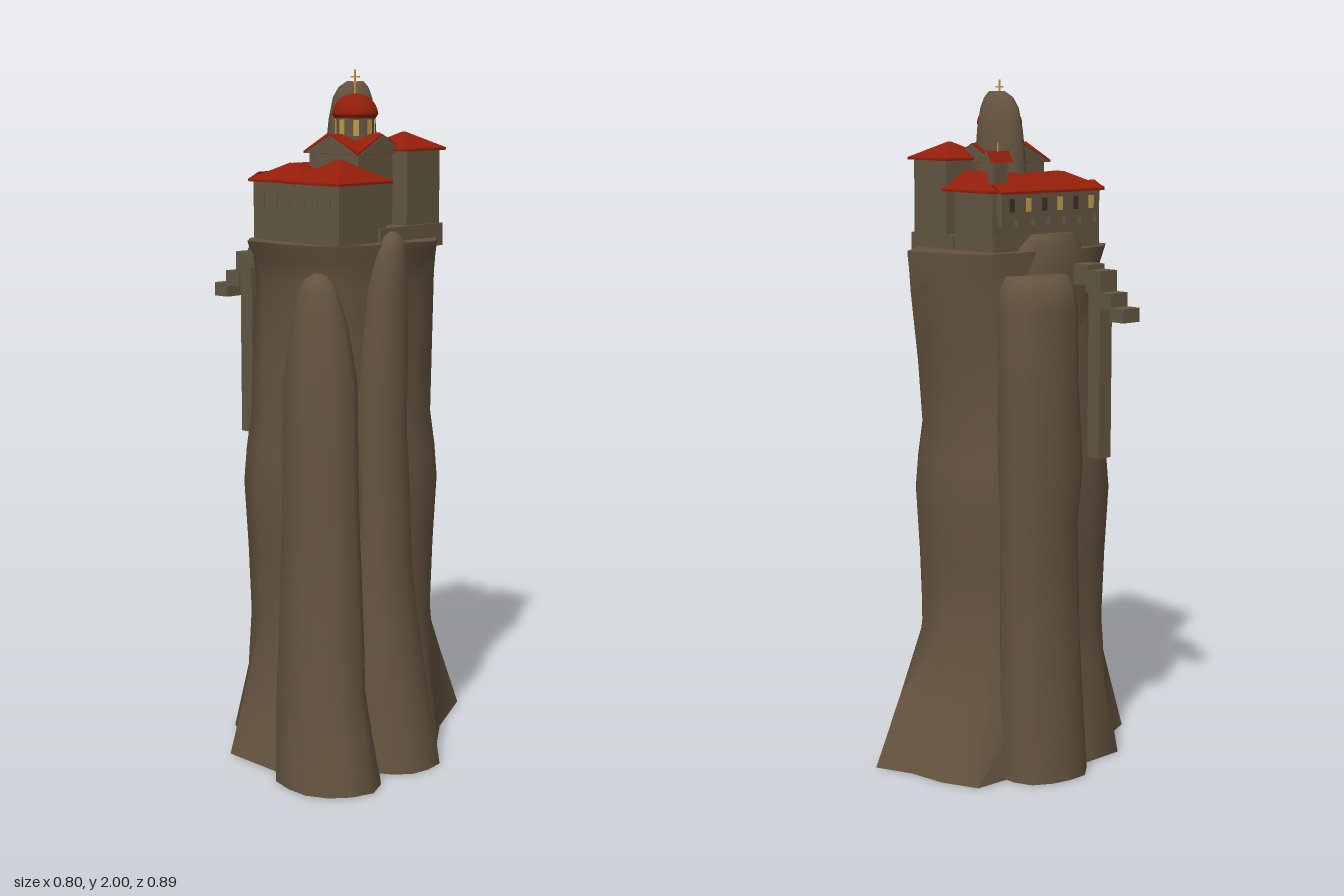
import * as THREE from 'three';
import { toCreasedNormals } from 'three/addons/utils/BufferGeometryUtils.js';
import { ConvexGeometry } from 'three/addons/geometries/ConvexGeometry.js';

const mat = (name, color) => {
  const m = new THREE.MeshStandardMaterial({ color });
  m.name = name;
  return m;
};

export function createModel() {
  const model = new THREE.Group();
  const rock = mat('rock brown', 0x64533f);
  rock.side = THREE.DoubleSide; // the rock is open underneath
  const stone = mat('wall stone', 0x635643);
  const tile = mat('roof red', 0x931e09);
  const dark = mat('window dark', 0x3a3128);
  const gold = mat('lit gold', 0xc39a45);

  const add = (name, geo, material) => {
    const m = new THREE.Mesh(geo, material);
    m.name = name;
    model.add(m);
    return m;
  };
  // box given by its extents
  const box = (name, x0, x1, y0, y1, z0, z1, material = stone) => {
    const g = new THREE.BoxGeometry(x1 - x0, y1 - y0, z1 - z0);
    return add(name, g.translate((x0 + x1) / 2, (y0 + y1) / 2, (z0 + z1) / 2), material);
  };
  const convex = (name, pts, material) =>
    add(name, new ConvexGeometry(pts.map(p => new THREE.Vector3(...p))), material);

  // skin over rings of [x, y, z], open below and closed on top
  const skin = (name, rings, crease = 1) => {
    const n = rings[0].length, last = rings[rings.length - 1], pos = rings.flat(2), idx = [];
    for (let l = 0; l < rings.length - 1; l++) {
      for (let i = 0; i < n; i++) {
        const a = l * n + i, b = l * n + (i + 1) % n;
        idx.push(a, a + n, b, b, a + n, b + n);
      }
    }
    const c = pos.length / 3, s = c - n;
    pos.push(...[0, 1, 2].map(k => last.reduce((t, p) => t + p[k], 0) / n));
    for (let i = 0; i < n; i++) idx.push(c, s + (i + 1) % n, s + i);
    const g = new THREE.BufferGeometry();
    g.setAttribute('position', new THREE.Float32BufferAttribute(pos, 3));
    g.setIndex(idx);
    return add(name, toCreasedNormals(g, crease), rock);
  };
  // rock column from levels [y, cx, cz, rx, rz]
  const column = (name, levels, seed, n = 14) => skin(name, levels.map(([y, cx, cz, rx, rz]) =>
    Array.from({ length: n }, (_, i) => {
      const a = i / n * Math.PI * 2;
      const k = 1 + 0.04 * Math.sin(3 * a + seed) + 0.03 * Math.sin(5 * a + seed * 2);
      return [cx + Math.cos(a) * rx * k, y, cz + Math.sin(a) * rz * k];
    })));

  // main pillar: outlines [x, z] at foot, waist, neck and summit
  const outlines = [
    [[.3, .04], [.28, .15], [.2, .3], [.08, .37], [-.12, .36], [-.17, .25], [-.285, .18],
      [-.29, .03], [-.24, -.15], [-.235, -.33], [-.13, -.38], [-.02, -.4], [.09, -.45], [.19, -.24], [.27, -.13], [.33, -.06]],
    [[.21, .05], [.21, .15], [.16, .235], [.04, .255], [-.09, .255], [-.18, .21], [-.22, .12],
      [-.215, 0], [-.2, -.13], [-.16, -.22], [-.09, -.25], [0, -.265], [.1, -.258], [.18, -.2], [.225, -.13], [.235, -.05]],
    [[.22, .04], [.215, .14], [.15, .225], [.03, .24], [-.09, .24], [-.155, .2], [-.185, .12],
      [-.185, 0], [-.18, -.15], [-.165, -.22], [-.11, -.27], [-.03, -.295], [.075, -.315], [.17, -.215], [.23, -.14], [.25, -.06]],
    [[.25, .03], [.24, .14], [.15, .265], [.04, .28], [-.11, .28], [-.17, .21], [-.19, .12],
      [-.19, 0], [-.185, -.15], [-.17, -.24], [-.12, -.28], [-.04, -.3], [.07, -.33], [.165, -.215], [.235, -.15], [.285, -.08]]];
  // [y, outline position, scale]
  const steps = [[0, 0, 1], [.2, .5, 1], [.4, .95, .99], [.6, 1, 1.02], [.8, 1, 1.06], [.9, 1, 1.03],
    [1, 1, .98], [1.2, 1.45, .99], [1.4, 2, 1], [1.47, 2.5, 1], [1.505, 2.9, 1], [1.52, 3, 1]];
  skin('mainPillar', steps.map(([y, t, k]) => {
    const lower = Math.min(Math.floor(t), 2), f = t - lower;
    return outlines[lower].map(([x, z], i) => {
      const [x1, z1] = outlines[lower + 1][i];
      return [(x + (x1 - x) * f) * k, y, (z + (z1 - z) * f) * k];
    });
  }));

  // satellite rock columns
  column('frontColumn', [[0, .232, .3, .153, .148], [.14, .215, .303, .145, .13], [.27, .203, .305, .136, .115],
    [.4, .2, .3, .132, .11], [.8, .187, .288, .115, .1], [1.15, .185, .285, .107, .1], [1.3, .185, .29, .083, .08],
    [1.4, .185, .297, .056, .056], [1.43, .185, .3, .04, .042], [1.45, .185, .3, .014, .014]], 1);
  column('rightColumn', [[0, .27, .06, .125, .13], [.2, .25, .065, .105, .12], [.4, .235, .07, .09, .105],
    [.6, .222, .07, .08, .092], [.8, .218, .07, .08, .085], [1, .215, .075, .074, .08], [1.2, .22, .07, .07, .074],
    [1.4, .235, .068, .052, .062], [1.5, .246, .064, .036, .046], [1.54, .247, .06, .024, .028],
    [1.553, .246, .06, .008, .012]], 2.5);
  column('leftColumn', [[0, -.24, -.09, .126, .135], [.4, -.228, -.09, .105, .125], [.75, -.222, -.09, .1, .122],
    [.9, -.228, -.09, .112, .13], [1.15, -.22, -.09, .1, .125], [1.36, -.222, -.095, .098, .125],
    [1.42, -.22, -.095, .09, .118], [1.455, -.21, -.09, .072, .1]], 0.4);
  column('leftCrag', [[1.3, -.165, .01, .04, .15], [1.42, -.17, .01, .034, .14], [1.53, -.165, .01, .034, .115],
    [1.565, -.16, .02, .02, .08]], 5);
  // inner rock closing the hollow foot
  [[.06, .12, .16], [-.1, .06, .15], [.06, -.14, .16], [-.09, -.16, .13]].forEach(([x, z, r], i) =>
    column('innerRock', [[.01, x, z, r, r], [.2, x * .8, z * .8, r * .85, r * .85], [.45, x * .6, z * .6, r * .5, r * .5]], i));
  // crag behind the dome, set diagonally
  const crag = column('summitCrag', [[1.5, 0, 0, .08, .055], [1.76, -.002, 0, .078, .046], [1.86, 0, 0, .069, .042],
    [1.92, .002, .002, .058, .032], [1.95, .006, .005, .044, .019], [1.967, .012, .006, .024, .007]], 1.7);
  crag.position.set(-.003, 0, -.042);
  crag.rotation.y = .55;

  // stepped landing and hoist shaft
  [[-.41, -.355, 1.325, 1.365], [-.36, -.305, 1.36, 1.405], [-.317, -.255, 1.4, 1.465], [-.265, -.205, 1.42, 1.48]]
    .forEach(([x0, x1, y0, y1]) => box('landingStep', x0, x1, y0, y1, .06, .125));
  box('hoistShaft', -.305, -.258, .92, 1.42, .07, .118);

  // terrace and walls
  box('terrace', .02, .21, 1.495, 1.56, -.205, .07);
  box('foundation', -.15, .19, 1.5, 1.56, -.195, .19);
  box('frontRightHouse', .015, .2, 1.52, 1.69, .035, .232);
  box('frontWing', -.145, .03, 1.52, 1.69, .05, .218);
  box('leftWing', -.145, .02, 1.52, 1.69, -.195, .2);
  box('backRightTower', .052, .2, 1.54, 1.775, -.2, -.055);
  box('church', -.045, .145, 1.55, 1.77, -.09, .09);

  // hipped roofs: eave rectangle plus a ridge [x0, x1, z0, z1]
  const hip = (name, x0, x1, z0, z1, y, h, ridge) => {
    const pts = [];
    for (const x of [x0, x1]) for (const z of [z0, z1]) pts.push([x, y, z], [x, y - .007, z]);
    for (const x of ridge.slice(0, 2)) for (const z of ridge.slice(2)) pts.push([x, y + h, z]);
    convex(name, pts, tile);
  };
  hip('frontRightRoof', .008, .212, .02, .245, 1.692, .058, [.105, .118, .125, .14]);
  hip('frontWingRoof', -.155, .04, .03, .23, 1.692, .045, [-.075, -.03, .14, .141]);
  hip('leftWingRoof', -.155, .03, -.212, .225, 1.692, .045, [-.065, -.06, -.13, .14]);
  hip('backWingRoof', -.155, .06, -.213, -.04, 1.692, .05, [-.06, .05, -.13, -.129]);
  hip('towerRoof', .038, .212, -.215, -.042, 1.778, .045, [.12, .128, -.132, -.126]);

  // crossing gabled roofs of the church, with stone gables
  const cx = .05, r = .105;
  for (const turn of [0, 1]) {
    const at = (u, y, v) => turn ? [cx + v, y, u] : [cx + u, y, v];
    const pts = [];
    for (const v of [-r, r]) {
      for (const u of [-r, r]) pts.push(at(u, 1.77, v), at(u, 1.764, v));
      pts.push(at(0, 1.82, v));
      const e = v + Math.sign(v) * .003;
      convex('gable', [v, e].flatMap(d => [at(-.1, 1.765, d), at(.1, 1.765, d), at(0, 1.816, d)]), stone);
    }
    convex('churchRoof', pts, tile);
  }

  // drum, lit windows, dome and cross
  add('drum', new THREE.CylinderGeometry(.055, .055, .1, 24).translate(cx, 1.825, 0), stone);
  for (let i = 0; i < 8; i++) {
    const w = add('drumWindow', new THREE.BoxGeometry(.016, .045, .006), gold);
    const a = i * Math.PI / 4;
    w.position.set(cx + Math.sin(a) * .054, 1.837, Math.cos(a) * .054);
    w.rotation.y = a;
  }
  add('drumCornice', new THREE.CylinderGeometry(.067, .06, .012, 24).translate(cx, 1.87, 0), tile);
  add('dome', new THREE.SphereGeometry(.066, 24, 10, 0, Math.PI * 2, 0, Math.PI / 2)
    .scale(1, .9, 1).translate(cx, 1.873, 0), tile);
  box('crossPost', cx - .002, cx + .002, 1.925, 2, -.002, .002, gold);
  box('crossArm', cx - .016, cx + .016, 1.977, 1.982, -.002, .002, gold);
  box('crossLowerArm', cx - .008, cx + .008, 1.963, 1.967, -.002, .002, gold);

  // bell turret on the left wing
  box('bellTurret', -.13, -.104, 1.69, 1.775, -.178, -.126);
  convex('bellTurretRoof', [-.193, -.11].flatMap(z => [[-.138, 1.77, z], [-.096, 1.77, z], [-.117, 1.802, z]]), tile);
  for (const z of [-.195, -.11]) {
    convex('turretGable', [z, z + .002].flatMap(d => [[-.138, 1.77, d], [-.096, 1.77, d], [-.117, 1.801, d]]), stone);
  }
  box('turretCross', -.1185, -.1155, 1.795, 1.825, -.1535, -.1505, gold);

  // enclosed balcony on brackets along the left side
  convex('balconyRoof', [-.188, .208].flatMap(z =>
    [[-.177, 1.683, z], [-.177, 1.69, z], [-.135, 1.7, z], [-.135, 1.712, z]]), tile);
  box('balcony', -.166, -.14, 1.612, 1.69, -.178, .198);
  for (let i = 0; i < 7; i++) {
    const z = -.175 + i * .061;
    box('balconyBracket', -.162, -.14, 1.59, 1.614, z, z + .007);
    if (i < 6) box('balconyWindow', -.169, -.164, 1.632, 1.67, z + .025, z + .043, i % 2 ? gold : dark);
  }

  // wall windows with plain stone shutters
  for (const x of [-.11, -.06, -.01]) box('frontShutter', x - .01, x + .01, 1.615, 1.65, .216, .221);
  for (const x of [.06, .11, .16]) box('frontShutter', x - .01, x + .01, 1.615, 1.65, .23, .235);
  box('courtDoor', .143, .148, 1.56, 1.61, -.025, .005);
  return model;
}
